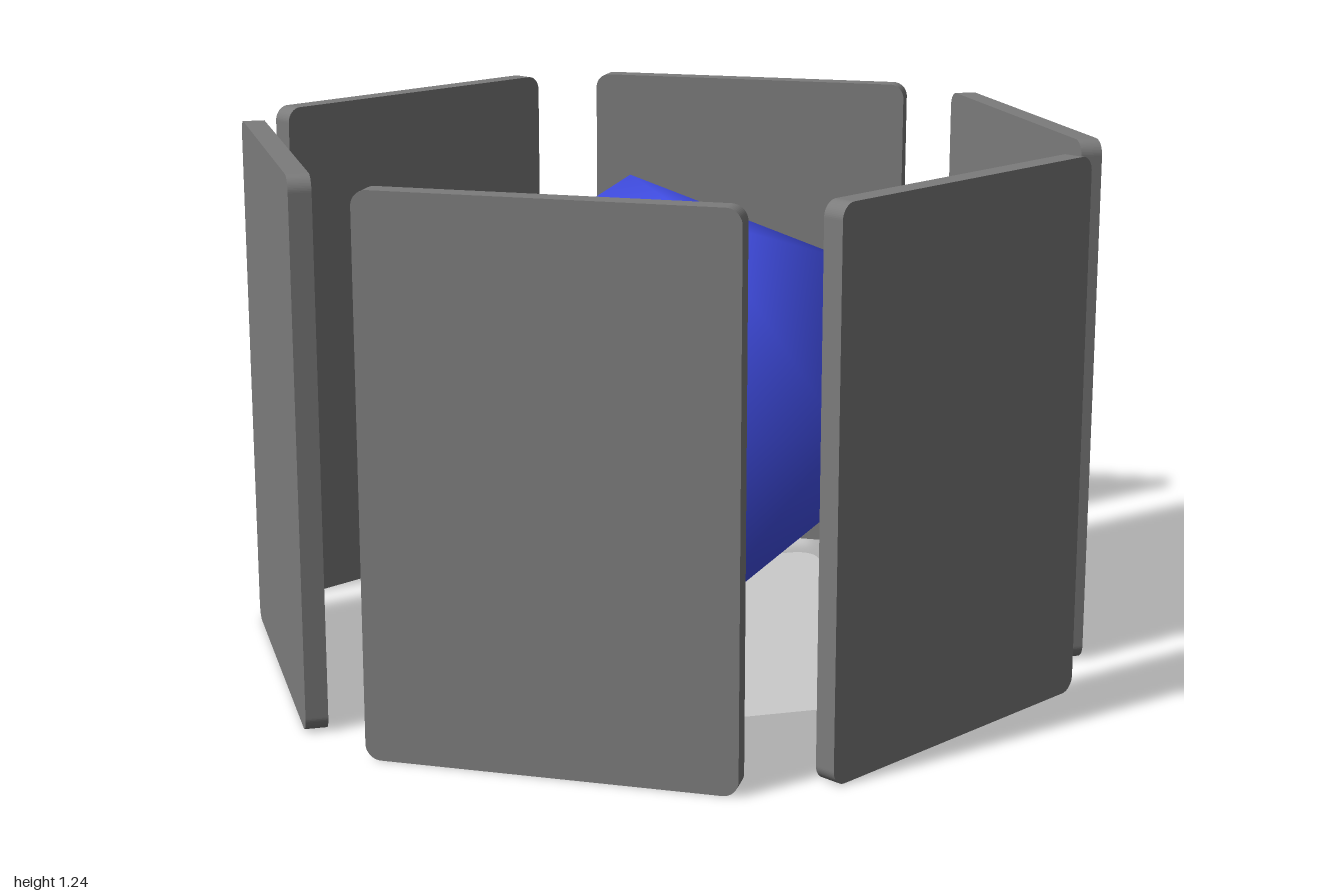
import * as THREE from 'three';

// Rounded rectangle centred on the origin
function roundedRect(w, h, r) {
  const x = w / 2, y = h / 2, s = new THREE.Shape();
  s.moveTo(-x + r, -y);
  s.lineTo(x - r, -y);
  s.absarc(x - r, -y + r, r, -Math.PI / 2, 0);
  s.lineTo(x, y - r);
  s.absarc(x - r, y - r, r, 0, Math.PI / 2);
  s.lineTo(-x + r, y);
  s.absarc(-x + r, y - r, r, Math.PI / 2, Math.PI);
  s.lineTo(-x, -y + r);
  s.absarc(-x + r, -y + r, r, Math.PI, Math.PI * 1.5);
  return s;
}

export function createModel() {
  const model = new THREE.Group();
  const panelMat = new THREE.MeshStandardMaterial({ color: 0x7c7c7c });
  const ballMat = new THREE.MeshStandardMaterial({ color: 0x4755f8 });
  const baseMat = new THREE.MeshStandardMaterial({ color: 0xcccccc, side: THREE.DoubleSide });

  // Ring of six upright panels
  const height = 1.236, thickness = 0.05, apothem = 0.892;
  const panelGeo = new THREE.ExtrudeGeometry(roundedRect(0.82, height, 0.035), {
    depth: thickness, bevelEnabled: false, curveSegments: 8,
  });
  panelGeo.translate(0, height / 2, apothem - thickness / 2);
  const ring = new THREE.Group();
  ring.name = 'panelRing';
  for (let i = 0; i < 6; i++) {
    const panel = new THREE.Mesh(panelGeo, panelMat);
    panel.name = `panel${i + 1}`;
    panel.rotation.y = Math.PI / 6 + (i * Math.PI) / 3;
    ring.add(panel);
  }
  model.add(ring);

  // Thin floor sheet
  const base = new THREE.Mesh(new THREE.ShapeGeometry(roundedRect(1.12, 1.12, 0.05), 8), baseMat);
  base.name = 'floorSheet';
  base.rotation.x = -Math.PI / 2;
  model.add(base);

  // Floating icosahedron with soft, sphere-like normals
  const ballGeo = new THREE.IcosahedronGeometry(0.557, 0);
  const normals = ballGeo.attributes.position.clone();
  ballGeo.setAttribute('normal', normals);
  ballGeo.normalizeNormals();
  const ball = new THREE.Mesh(ballGeo, ballMat);
  ball.name = 'core';
  ball.position.y = 0.608;
  ball.rotation.y = Math.PI / 2;
  model.add(ball);

  return model;
}
